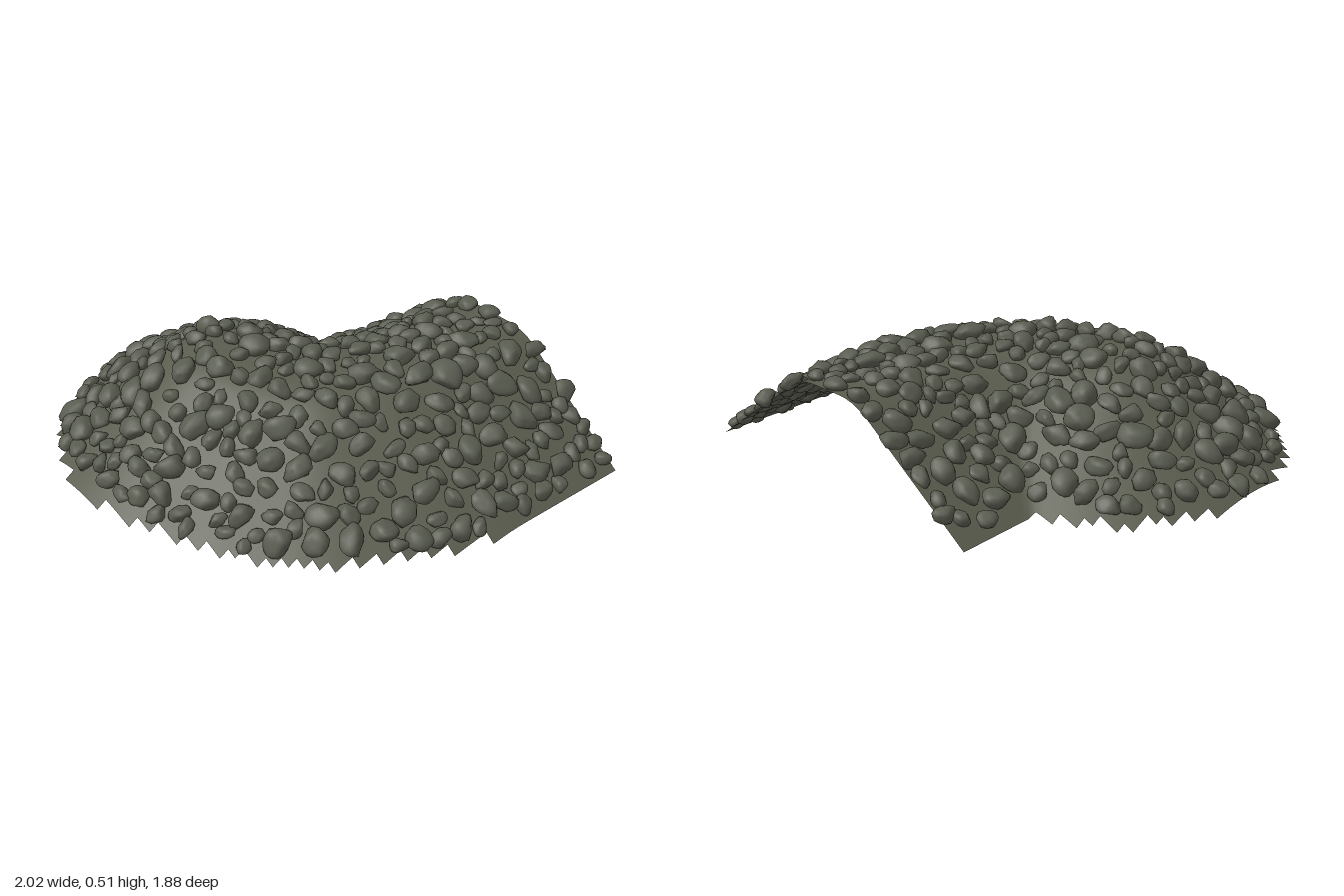
import * as THREE from 'three';
import { mergeVertices } from 'three/addons/utils/BufferGeometryUtils.js';

const REACH = 0.74; // half width of the mound's foot

// Crest line of the bent bank, as x and z
const crest = [[0.26, -1.8], [0.26, -0.35], [0.23, -0.22], [0.12, 0], [-0.02, 0.1], [-0.27, 0.19]]
  .map(([x, z]) => new THREE.Vector2(x, z));

// Small seeded random
let seed = 7;
function rnd(a = 0, b = 1) {
  seed = (seed * 1664525 + 1013904223) % 4294967296;
  return a + (b - a) * (seed / 4294967296);
}

function crestDistance(x, z) {
  const p = new THREE.Vector2(x, z);
  let best = Infinity;
  for (let i = 0; i < crest.length - 1; i++) {
    const ab = crest[i + 1].clone().sub(crest[i]);
    const t = THREE.MathUtils.clamp(p.clone().sub(crest[i]).dot(ab) / ab.lengthSq(), 0, 1);
    best = Math.min(best, p.distanceTo(crest[i].clone().addScaledVector(ab, t)));
  }
  return best;
}

// Flat crest blended into an even slope
function height(x, z) {
  const slope = 0.03 + 0.72 * (REACH - crestDistance(x, z));
  const top = 0.445, k = 0.06;
  const h = Math.max(k - Math.abs(slope - top), 0) / k;
  return Math.max(0, Math.min(slope, top) - h * h * k * 0.25);
}

function slopeNormal(x, z) {
  const e = 0.02;
  return new THREE.Vector3(
    height(x - e, z) - height(x + e, z), 2 * e, height(x, z - e) - height(x, z + e)).normalize();
}

// Open shell on a grid, with a stepped outline
function moundGeometry() {
  const n = 47, cell = 2 / n, zMin = -0.89, rows = 43;
  const positions = [], index = [], ids = new Map();
  const vertex = (i, j) => {
    const key = i * 100 + j;
    if (!ids.has(key)) {
      const x = -1 + i * cell, z = zMin + j * cell;
      ids.set(key, positions.length / 3);
      positions.push(x, height(x, z), z);
    }
    return ids.get(key);
  };
  for (let i = 0; i < n; i++) {
    for (let j = 0; j < rows; j++) {
      if (crestDistance(-1 + (i + 0.5) * cell, zMin + (j + 0.5) * cell) > REACH) continue;
      const a = vertex(i, j), b = vertex(i, j + 1), c = vertex(i + 1, j + 1), d = vertex(i + 1, j);
      index.push(a, b, c, a, c, d);
    }
  }
  const g = new THREE.BufferGeometry();
  g.setAttribute('position', new THREE.Float32BufferAttribute(positions, 3));
  g.setIndex(index);
  g.computeVertexNormals();
  return g;
}

// Worn boulder: a ball cut by random planes, smoothly shaded
function stoneGeometry() {
  let g = new THREE.IcosahedronGeometry(1, 2);
  g.deleteAttribute('normal');
  g.deleteAttribute('uv');
  g = mergeVertices(g, 1e-4);
  const planes = [];
  for (let i = 0; i < 11; i++) {
    planes.push([new THREE.Vector3(rnd(-1, 1), rnd(-1, 1), rnd(-1, 1)).normalize(), rnd(0.62, 0.85)]);
  }
  const p = g.attributes.position, v = new THREE.Vector3();
  for (let i = 0; i < p.count; i++) {
    v.fromBufferAttribute(p, i).normalize();
    let r = 1;
    for (const [n, d] of planes) {
      const c = v.dot(n);
      if (c > 0) r = Math.min(r, d / c);
    }
    v.multiplyScalar(r * 1.1);
    p.setXYZ(i, v.x, v.y, v.z);
  }
  g.computeVertexNormals();
  return g;
}

export function createModel() {
  const model = new THREE.Group();
  model.name = 'rockMound';
  const earth = new THREE.MeshStandardMaterial({ color: 0x5a5c4e, side: THREE.DoubleSide });
  earth.name = 'earth';
  const rock = new THREE.MeshStandardMaterial({ color: 0x595c50 });
  rock.name = 'rock';

  const mound = new THREE.Mesh(moundGeometry(), earth);
  mound.name = 'mound';
  model.add(mound);

  // Boulders scattered over the slopes without crowding
  const stones = new THREE.Group();
  stones.name = 'stones';
  model.add(stones);
  const shapes = Array.from({ length: 14 }, stoneGeometry);
  const placed = [];
  const up = new THREE.Vector3(0, 1, 0);
  for (let tries = 0; tries < 9000 && placed.length < 390; tries++) {
    const x = rnd(-1, 1), z = rnd(-0.89, 0.92), r = rnd(0.036, 0.068);
    if (crestDistance(x, z) > 0.745 - r) continue;
    const pos = new THREE.Vector3(x, height(x, z), z);
    if (placed.some((s) => s.pos.distanceTo(pos) < 0.77 * (s.r + r))) continue;
    placed.push({ pos, r });

    const normal = slopeNormal(x, z);
    const stone = new THREE.Mesh(shapes[placed.length % shapes.length], rock);
    stone.name = 'stone';
    stone.position.copy(pos).addScaledVector(normal, 0.35 * r);
    stone.quaternion.setFromUnitVectors(up, normal);
    stone.rotateY(rnd(0, Math.PI * 2));
    stone.rotateX(rnd(-0.3, 0.3));
    stone.scale.set(r * 1.08, r * rnd(0.6, 0.8), r * rnd(0.72, 0.95));
    stones.add(stone);
  }
  return model;
}
